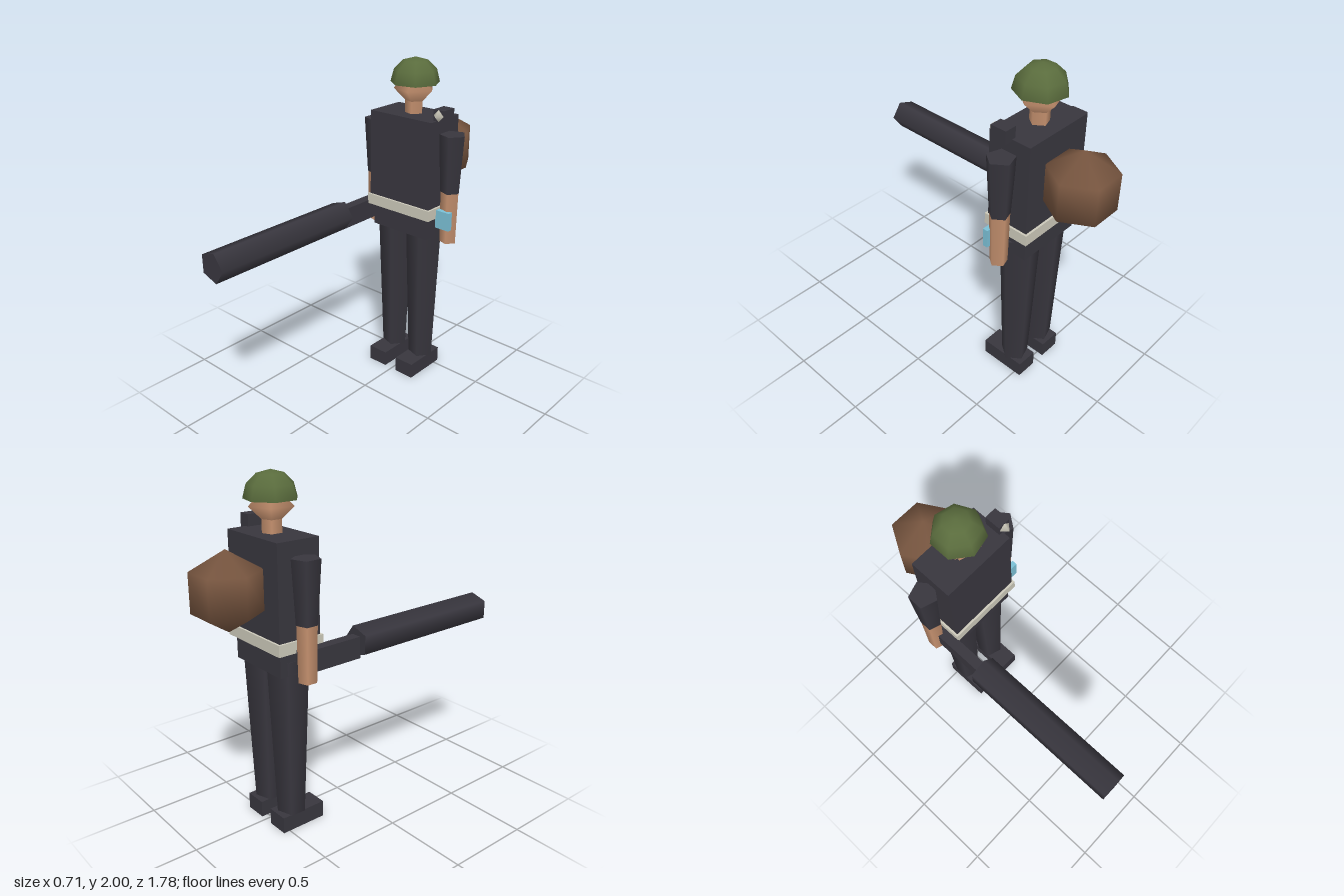
import * as THREE from 'three';

const CX = -0.008, CZ = -0.44; // body axis

function material(name, color) {
  const m = new THREE.MeshStandardMaterial({ color });
  m.name = name;
  return m;
}

export function createModel() {
  const dark = material('charcoal', 0x38363e);
  const skin = material('skin', 0xc4906e);
  const green = material('helmetGreen', 0x5a6c3d);
  const brown = material('packBrown', 0x785640);
  const cream = material('cream', 0xccc9ba);
  const cyan = material('cyan', 0x7bc0d6);

  const root = new THREE.Group();
  root.name = 'soldier';

  function add(name, geometry, mat, x, y, z) {
    const mesh = new THREE.Mesh(geometry, mat);
    mesh.name = name;
    mesh.position.set(x, y, z);
    root.add(mesh);
    return mesh;
  }
  const box = (name, mat, w, h, d, x, y, z) =>
    add(name, new THREE.BoxGeometry(w, h, d), mat, x, y, z);
  // Five-sided limb with one corner towards +x
  const limb = (name, mat, rTop, rBottom, yTop, yBottom, x) =>
    add(name, new THREE.CylinderGeometry(rTop, rBottom, yTop - yBottom, 5, 1, false, Math.PI / 2),
      mat, x, (yTop + yBottom) / 2, CZ);

  // Trunk
  box('torso', dark, 0.445, 0.57, 0.26, CX, 1.395, CZ);
  box('hips', dark, 0.406, 0.18, 0.23, CX, 1.05, CZ);
  box('belt', cream, 0.47, 0.065, 0.285, CX, 1.126, CZ);

  // Arms, legs and boots
  for (const [side, s] of [['left', 1], ['right', -1]]) {
    const armX = CX + s * 0.282, legX = CX + s * 0.109;
    limb(side + 'Sleeve', dark, 0.079, 0.059, 1.6, 1.255, armX);
    limb(side + 'Forearm', skin, 0.057, 0.051, 1.255, 0.94, armX);
    limb(side + 'Leg', dark, 0.119, 0.081, 1.035, 0.09, legX);
    box(side + 'Boot', dark, 0.13, 0.097, 0.281, legX, 0.0485, -0.4);
  }

  // Neck, head and helmet
  limb('neck', skin, 0.055, 0.055, 1.76, 1.67, CX);
  add('head', new THREE.SphereGeometry(0.123, 5, 2, Math.PI), skin, CX, 1.82, CZ);
  add('helmet', new THREE.SphereGeometry(0.146, 7, 3, Math.PI, Math.PI * 2, 0, Math.PI / 2),
    green, CX, 1.854, CZ);
  const rim = new THREE.CircleGeometry(0.146, 7);
  rim.rotateX(Math.PI / 2);
  add('helmetUnderside', rim, green, CX, 1.854, CZ);

  // Backpack
  add('backpack', new THREE.SphereGeometry(0.217, 6, 3), brown, CX, 1.418, -0.726);

  // Shoulder radio with lamp
  box('shoulderRadio', dark, 0.072, 0.075, 0.096, 0.226, 1.708, -0.408);
  add('radioLamp', new THREE.SphereGeometry(0.034, 4, 2), cream, 0.227, 1.713, -0.358);

  // Wrist screen
  box('wristScreen', cyan, 0.096, 0.111, 0.031, 0.272, 1.092, -0.386);

  // Long gun held in the right hand
  const barrel = new THREE.CylinderGeometry(0.091, 0.091, 0.98, 5, 1, false, Math.PI / 2);
  barrel.rotateX(Math.PI / 2);
  add('gunBarrel', barrel, dark, -0.269, 1.072, 0.4);
  box('gunStock', dark, 0.061, 0.125, 0.39, -0.27, 1.048, -0.28);

  return root;
}
